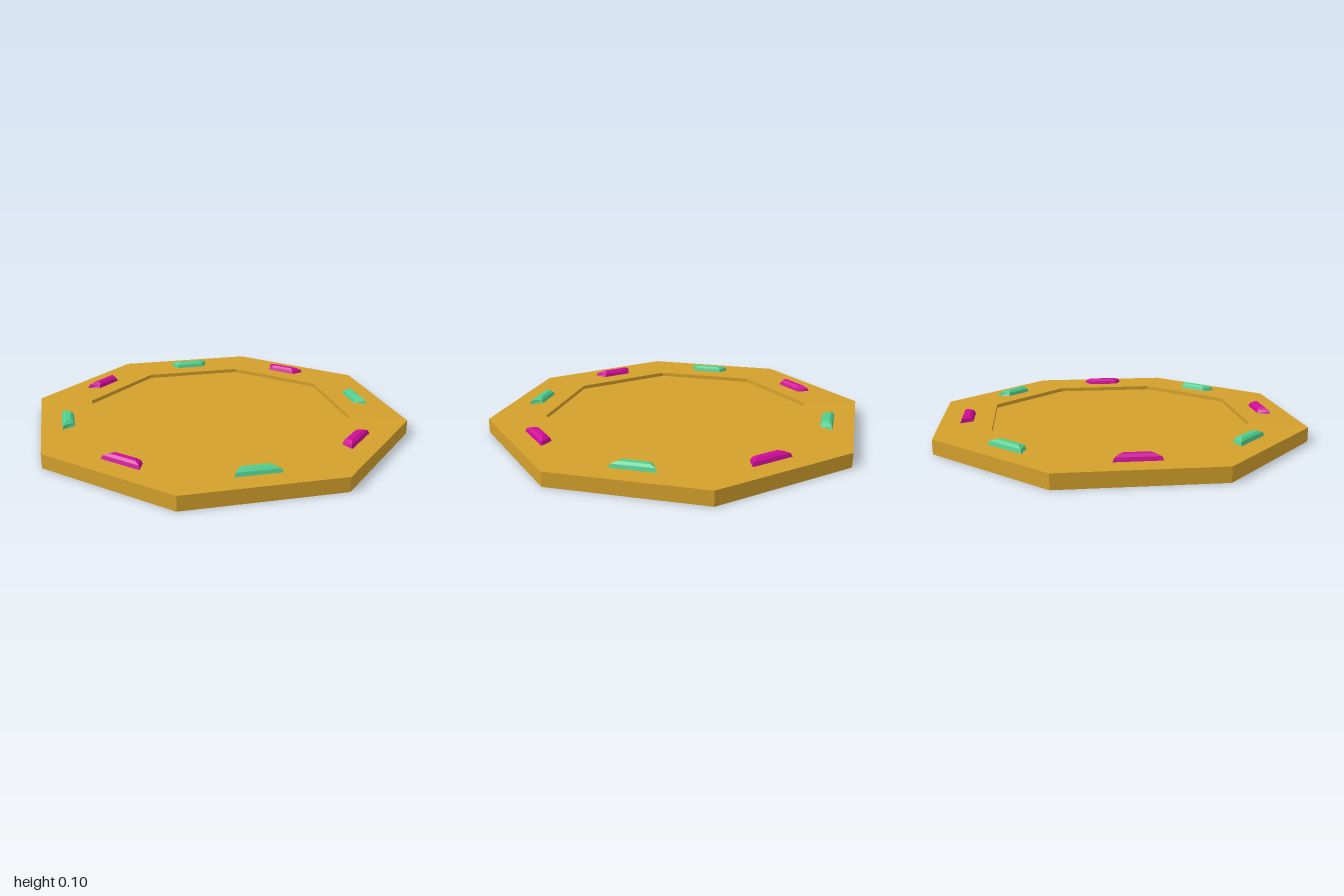
import * as THREE from 'three';

const gold = new THREE.MeshStandardMaterial({ name: 'gold', color: 0xd4a02c });
const green = new THREE.MeshStandardMaterial({ name: 'green gem', color: 0x50cd8e });
const magenta = new THREE.MeshStandardMaterial({ name: 'magenta gem', color: 0xce0c98 });

// Split shared vertices so every facet gets its own flat normal
function faceted(geometry) {
  const flat = geometry.index ? geometry.toNonIndexed() : geometry;
  flat.computeVertexNormals();
  return flat;
}

// Eight-sided turned shape from [radius, height] points
function octagon(name, profile) {
  const points = profile.map(([r, y]) => new THREE.Vector2(r, y));
  const mesh = new THREE.Mesh(faceted(new THREE.LatheGeometry(points, 8)), gold);
  mesh.name = name;
  return mesh;
}

// Trapezoid-cut stone: stacked rings, long side towards +z, closed by a flat table
function gemGeometry() {
  const rings = [
    [0.114, 0.083, 0.033, 0.07],
    [0.104, 0.075, 0.026, 0.093],
    [0.076, 0.059, 0.013, 0.104],
  ];
  const positions = [];
  for (const [outer, inner, depth, y] of rings) {
    positions.push(-outer, y, depth, outer, y, depth, inner, y, -depth, -inner, y, -depth);
  }
  const index = [];
  for (let r = 0; r < rings.length - 1; r++) {
    for (let i = 0; i < 4; i++) {
      const a = r * 4 + i;
      const b = r * 4 + ((i + 1) % 4);
      index.push(a, b, b + 4, a, b + 4, a + 4);
    }
  }
  const top = (rings.length - 1) * 4;
  index.push(top, top + 1, top + 2, top, top + 2, top + 3);
  const geometry = new THREE.BufferGeometry();
  geometry.setAttribute('position', new THREE.Float32BufferAttribute(positions, 3));
  geometry.setIndex(index);
  return faceted(geometry);
}

export function createModel() {
  const model = new THREE.Group();
  model.name = 'jewelled plate';

  // Base, outer wall, slightly sloped rim and the step down to the recess
  model.add(octagon('rim', [[0, 0], [1, 0], [1, 0.073], [0.705, 0.077], [0.705, 0.057]]));
  model.add(octagon('floor', [[0.705, 0.057], [0, 0.057]]));

  // One gem in the middle of each rim side, colours alternating
  const geometry = gemGeometry();
  for (let i = 0; i < 8; i++) {
    const angle = ((i + 0.5) * Math.PI) / 4;
    const gem = new THREE.Mesh(geometry, i % 2 ? green : magenta);
    gem.name = i % 2 ? 'greenGem' : 'magentaGem';
    gem.position.set(Math.sin(angle) * 0.787, 0, Math.cos(angle) * 0.787);
    gem.rotation.y = angle;
    model.add(gem);
  }
  return model;
}
